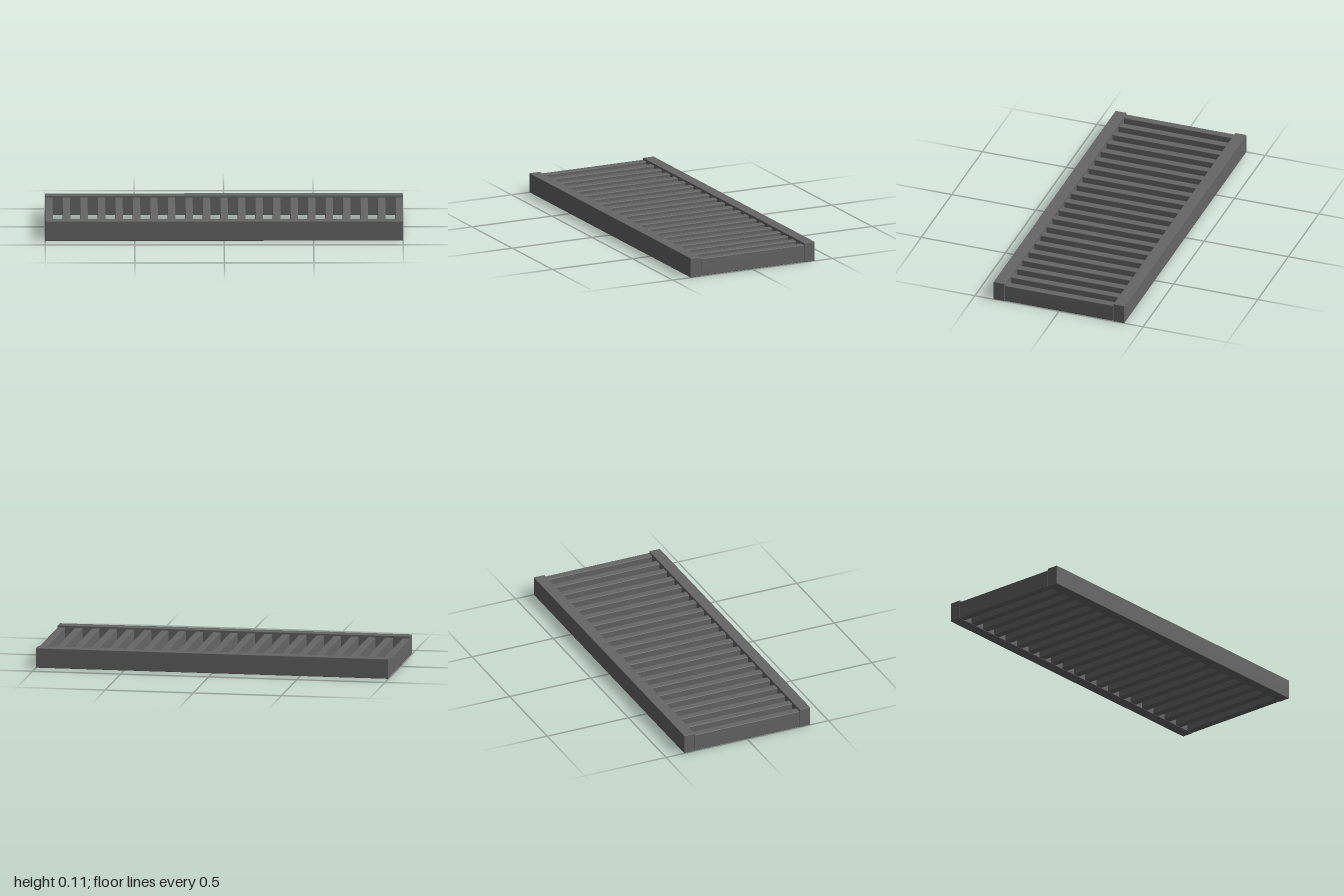
import * as THREE from 'three';
import { RoundedBoxGeometry } from 'three/addons/geometries/RoundedBoxGeometry.js';
import { mergeVertices } from 'three/addons/utils/BufferGeometryUtils.js';

// Box with a tiny softened edge and normals that blend across it
function softBox(width, height, depth, radius) {
  const box = new RoundedBoxGeometry(width, height, depth, 1, radius);
  box.deleteAttribute('normal');
  box.deleteAttribute('uv');
  const geometry = mergeVertices(box, 1e-5);
  geometry.computeVertexNormals();
  return geometry;
}

export function createModel() {
  const model = new THREE.Group();
  model.name = 'slattedGrate';

  const darkGrey = new THREE.MeshStandardMaterial({ color: 0x666666 });
  darkGrey.name = 'darkGrey';

  // Long rails at front and back
  const railHeight = 0.112, railDepth = 0.066, halfDepth = 0.389;
  const railGeometry = softBox(2, railHeight, railDepth, 0.003);
  for (const side of [1, -1]) {
    const rail = new THREE.Mesh(railGeometry, darkGrey);
    rail.name = side > 0 ? 'frontRail' : 'backRail';
    rail.position.set(0, railHeight / 2, side * (halfDepth - railDepth / 2));
    model.add(rail);
  }

  // Evenly spaced slats, slightly lower than the rails
  const slatCount = 21, slatWidth = 0.043, slatHeight = 0.099;
  const slatGeometry = softBox(slatWidth, slatHeight, 0.646, 0.003);
  const slats = new THREE.Group();
  slats.name = 'slats';
  for (let i = 0; i < slatCount; i++) {
    const slat = new THREE.Mesh(slatGeometry, darkGrey);
    slat.name = `slat${i + 1}`;
    const x = (2 - slatWidth) * (i / (slatCount - 1) - 0.5);
    slat.position.set(x, 0.002 + slatHeight / 2, 0);
    slats.add(slat);
  }
  model.add(slats);

  return model;
}
